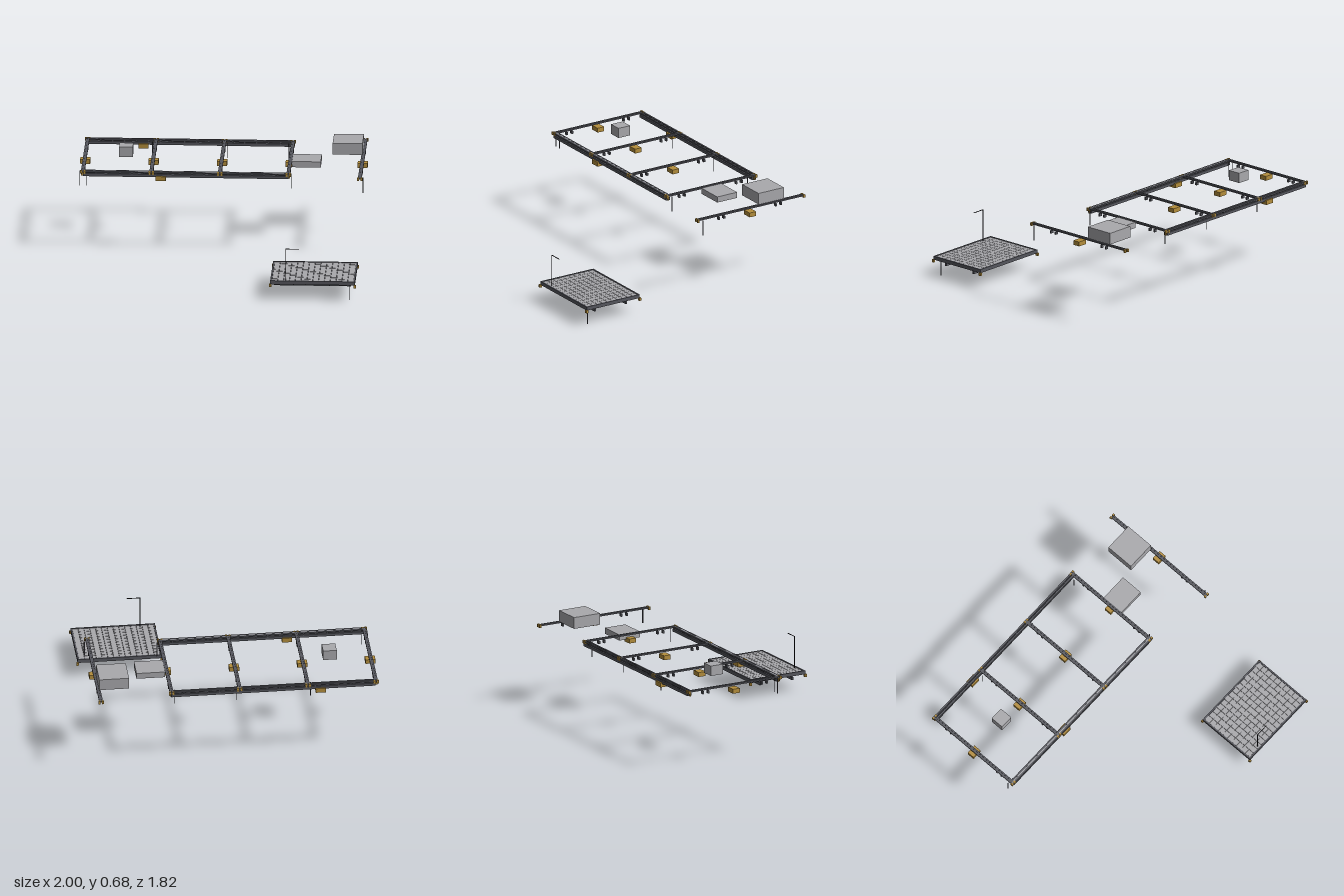
import * as THREE from 'three';

const material = (name, color) => {
  const m = new THREE.MeshStandardMaterial({ color });
  m.name = name;
  return m;
};

export function createModel() {
  const model = new THREE.Group();
  model.name = 'platformLayout';
  const steel = material('dark steel', 0x56575e);
  const grey = material('light grey', 0xa9a9ad);
  const gold = material('gold', 0xb48e3c);
  const black = material('black', 0x1c1c20);

  // Axis-aligned box given by its lower and upper limits
  const box = (parent, name, mat, x0, x1, y0, y1, z0, z1) => {
    const mesh = new THREE.Mesh(new THREE.BoxGeometry(x1 - x0, y1 - y0, z1 - z0), mat);
    mesh.position.set((x0 + x1) / 2, (y0 + y1) / 2, (z0 + z1) / 2);
    mesh.name = name;
    parent.add(mesh);
  };
  const post = (parent, name, mat, x, z, y0, y1, r) => {
    const mesh = new THREE.Mesh(new THREE.CylinderGeometry(r, r, y1 - y0, 8), mat);
    mesh.position.set(x, (y0 + y1) / 2, z);
    mesh.name = name;
    parent.add(mesh);
  };
  const group = (name) => {
    const g = new THREE.Group();
    g.name = name;
    model.add(g);
    return g;
  };
  const block = (parent, x, y, z) =>
    box(parent, 'goldBlock', gold, x - 0.035, x + 0.035, y, y + 0.032, z - 0.027, z + 0.027);

  const frame = group('mainFrame');
  const beamX = [-0.968, -0.492, -0.015, 0.462];
  const railZ = [-0.825, -0.11];

  // Long rails: a top pair over a deeper lower pair, joined by spacers
  for (const z of railZ) {
    for (const s of [-1, 1]) {
      const c = z + s * 0.0095;
      box(frame, 'topRail', steel, -0.98, 0.475, 0.588, 0.598, c - 0.006, c + 0.006);
      box(frame, 'lowerRail', steel, -0.965, 0.465, 0.56, 0.58, c - 0.006, c + 0.006);
    }
    if (z > -0.5) box(frame, 'railCover', grey, -0.97, 0.465, 0.59, 0.597, z - 0.004, z + 0.004);
    for (let i = 0; i <= 17; i++) {
      const x = -0.96 + i * 0.0835;
      box(frame, 'spacer', steel, x - 0.004, x + 0.004, 0.578, 0.59, z - 0.012, z + 0.012);
    }
  }

  // Cross beam with twin bars, hanging lugs, and gold end brackets
  const crossBeam = (parent, x, z0, z1) => {
    for (const s of [-1, 1]) {
      const c = x + s * 0.008;
      box(parent, 'crossBar', steel, c - 0.005, c + 0.005, 0.588, 0.598, z0, z1);
    }
    box(parent, 'crossWeb', steel, x - 0.004, x + 0.004, 0.588, 0.595, z0, z1);
    for (const z of [-0.204, -0.247, -0.677, -0.72]) {
      box(parent, 'lug', steel, x - 0.011, x + 0.011, 0.56, 0.58, z - 0.006, z + 0.006);
      box(parent, 'lugHanger', steel, x - 0.002, x + 0.002, 0.578, 0.59, z - 0.002, z + 0.002);
    }
    for (const z of [z0, z1]) for (const s of [-1, 1]) {
      const c = x + s * 0.012;
      box(parent, 'endBracket', gold, c - 0.007, c + 0.007, 0.578, 0.6, z - 0.007, z + 0.007);
    }
    block(parent, x, 0.536, -0.467);
  };
  for (const x of beamX) {
    crossBeam(frame, x, -0.835, -0.1);
    for (const z of railZ)
      box(frame, 'joint', gold, x - 0.012, x + 0.012, 0.56, 0.588, z - 0.004, z + 0.004);
  }
  block(frame, -0.58, 0.536, -0.825);
  block(frame, -0.425, 0.536, -0.11);

  const legs = [[-0.99, -0.13], [-0.945, -0.13], [-0.515, -0.79],
    [0.005, -0.79], [0.435, -0.79], [0.485, -0.13]];
  for (const [x, z] of legs) post(frame, 'leg', steel, x, z, 0.48, 0.59, 0.0025);

  // Detached beam beside the frame
  const side = group('detachedBeam');
  crossBeam(side, 0.963, -0.905, -0.027);
  post(side, 'leg', steel, 0.985, -0.06, 0.48, 0.59, 0.004);

  // Plain boxes
  const crates = group('crates');
  box(crates, 'smallCrate', grey, -0.73, -0.635, 0.598, 0.67, -0.514, -0.418);
  box(crates, 'flatCrate', grey, 0.475, 0.675, 0.553, 0.595, -0.547, -0.382);
  box(crates, 'largeCrate', grey, 0.75, 0.958, 0.598, 0.68, -0.75, -0.54);

  // Tiled deck with an edge frame
  const deck = group('deck');
  const [x0, x1, z0, z1] = [0.383, 0.973, 0.457, 0.897];
  box(deck, 'deckPlate', steel, x0 + 0.01, x1 - 0.01, 0.118, 0.134, z0 + 0.01, z1 - 0.01);
  const nx = 14, nz = 10;
  const px = (x1 - x0 - 0.022) / nx, pz = (z1 - z0 - 0.022) / nz;
  for (let i = 0; i < nx; i++) for (let j = 0; j < nz; j++) {
    const x = x0 + 0.011 + i * px, z = z0 + 0.011 + j * pz;
    box(deck, 'tile', grey, x + 0.001, x + px - 0.001, 0.133, 0.141, z + 0.001, z + pz - 0.001);
  }
  for (const z of [z0, z1 - 0.011])
    box(deck, 'longEdge', steel, x0, x1, 0.118, 0.144, z, z + 0.011);
  for (const x of [x0, x1 - 0.011])
    box(deck, 'shortEdge', steel, x, x + 0.011, 0.118, 0.144, z0, z1);
  for (const x of [x0, x1]) for (const z of [z0, z1])
    box(deck, 'cornerBracket', gold, x - 0.008, x + 0.008, 0.1, 0.12, z - 0.008, z + 0.008);

  // Joists and rails under the deck
  for (let i = 0; i < 7; i++) {
    const x = 0.46 + i * 0.0835;
    if (x < 0.96) box(deck, 'joist', steel, x - 0.004, x + 0.004, 0.104, 0.119, 0.49, 0.86);
  }
  for (const z of [0.55, 0.808])
    box(deck, 'underRail', steel, 0.405, 0.943, 0.084, 0.104, z - 0.006, z + 0.006);
  block(deck, 0.622, 0.057, 0.679);
  post(deck, 'deckLeg', steel, 0.932, 0.865, 0, 0.12, 0.003);

  // Thin mast with a short arm
  post(deck, 'mast', black, 0.49, 0.872, 0.14, 0.37, 0.003);
  box(deck, 'mastArm', black, 0.49, 0.583, 0.367, 0.371, 0.87, 0.874);

  return model;
}
